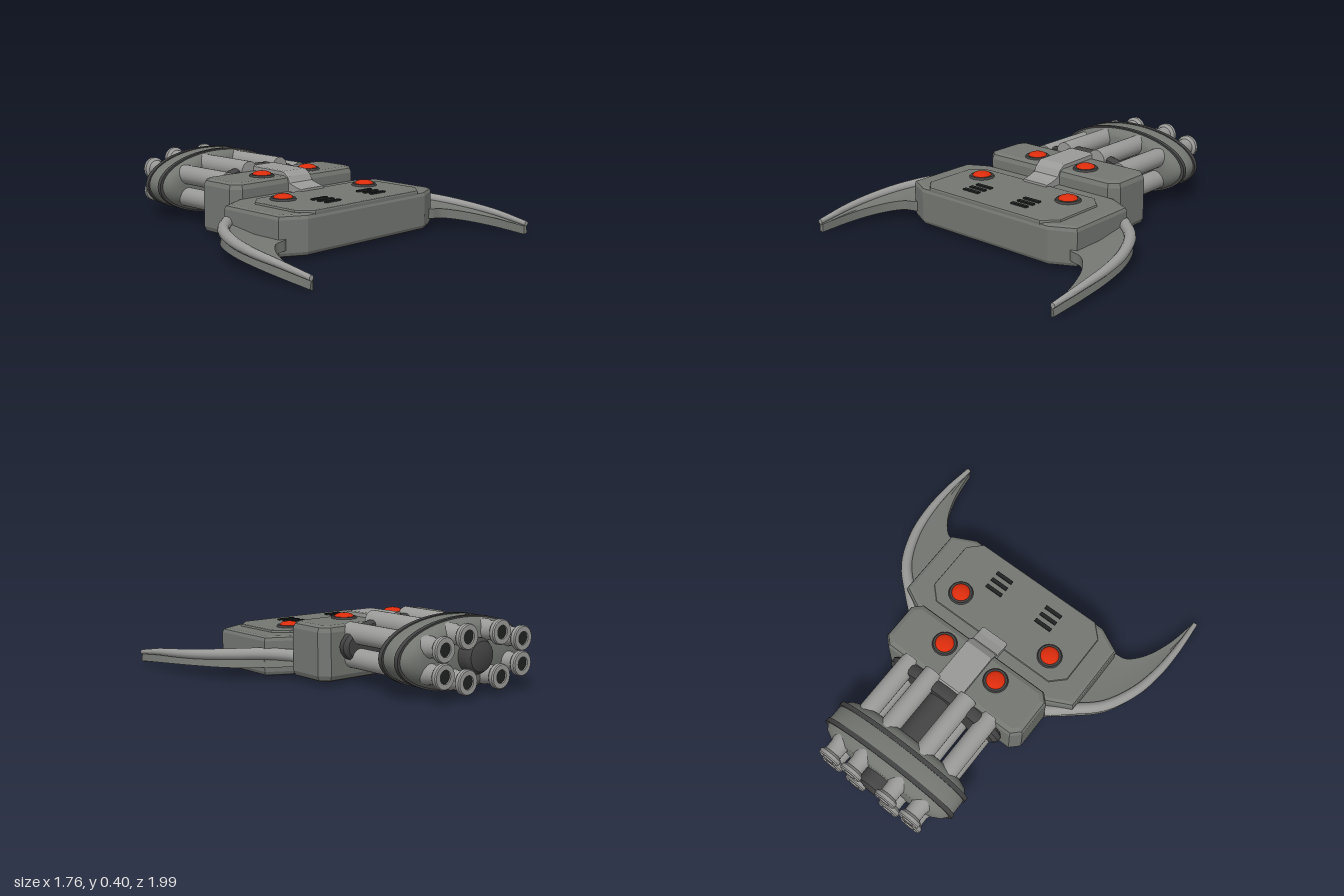
import * as THREE from 'three';
import { toCreasedNormals } from 'three/addons/utils/BufferGeometryUtils.js';

const material = (name, color) => Object.assign(new THREE.MeshStandardMaterial({ color }), { name });

// Slab with chamfered plan corners and bevelled edges, spanning the given ranges
function slab(halfX, z0, z1, y0, y1, cutX, cutZ, bevel) {
  const x = halfX - bevel, a = -z1 + bevel, b = -z0 - bevel;
  const shape = new THREE.Shape([
    [-x + cutX, a], [x - cutX, a], [x, a + cutZ], [x, b - cutZ],
    [x - cutX, b], [-x + cutX, b], [-x, b - cutZ], [-x, a + cutZ],
  ].map(p => new THREE.Vector2(...p)));
  return new THREE.ExtrudeGeometry(shape, {
    depth: y1 - y0 - 2 * bevel, bevelEnabled: true, bevelSize: bevel, bevelThickness: bevel, bevelSegments: 2,
  }).rotateX(-Math.PI / 2).translate(0, y0 + bevel, 0);
}

// Lathe along z, listed from back to front
function turned(profile, segments = 24, sx = 1, sy = 1) {
  const g = new THREE.LatheGeometry(profile.map(p => new THREE.Vector2(...p)), segments);
  return toCreasedNormals(g.rotateX(Math.PI / 2).scale(sx, sy, 1), 0.6);
}

// Skin through equal-sized closed cross-sections, with end caps
function loft(sections, side) {
  const n = sections[0].length, last = sections.length - 1, index = [];
  const rings = sections.map(s => (side < 0 ? [...s].reverse() : s));
  const at = (i, j) => i * n + (j % n);
  for (let i = 0; i < last; i++) for (let j = 0; j < n; j++) {
    index.push(at(i, j), at(i, j + 1), at(i + 1, j + 1), at(i, j), at(i + 1, j + 1), at(i + 1, j));
  }
  for (let j = 1; j < n - 1; j++) {
    index.push(at(0, 0), at(0, j + 1), at(0, j), at(last, 0), at(last, j), at(last, j + 1));
  }
  const g = new THREE.BufferGeometry();
  g.setAttribute('position', new THREE.Float32BufferAttribute(
    rings.flat().flatMap(p => [p.x * side, p.y, p.z]), 3));
  g.setIndex(index);
  return toCreasedNormals(g, 0.8);
}

const curve = pts => new THREE.CatmullRomCurve3(pts.map(p => new THREE.Vector3(...p)));

export function createModel() {
  const root = new THREE.Group();
  root.name = 'clawedRotaryDevice';
  const body = material('bodyGrey', 0x747772);
  const light = material('lightGrey', 0x9a9b99);
  const dark = material('darkGrey', 0x424342);
  const black = material('black', 0x202221);
  const red = material('red', 0xdc2c0c);
  const add = (name, geometry, mat, x = 0, y = 0, z = 0) => {
    const mesh = new THREE.Mesh(geometry, mat);
    mesh.name = name;
    mesh.position.set(x, y, z);
    root.add(mesh);
    return mesh;
  };

  // Housing
  add('mainBody', slab(0.6, 0.01, 0.57, 0.02, 0.24, 0.12, 0.06, 0.025), body);
  add('topPlate', slab(0.48, 0.11, 0.565, 0.2, 0.253, 0.07, 0.07, 0.01), body);
  add('rearBlock', slab(0.48, -0.29, 0.03, 0.02, 0.325, 0.03, 0.03, 0.035), body);

  // Strap stepping down from the rear block to the main body, profile in z and y
  const strap = new THREE.Shape([
    [-0.285, 0.2], [0.14, 0.2], [0.14, 0.262], [0.1, 0.268], [0.045, 0.285],
    [0.025, 0.32], [-0.01, 0.345], [-0.275, 0.349], [-0.285, 0.34],
  ].map(p => new THREE.Vector2(-p[0], p[1])));
  add('strap', new THREE.ExtrudeGeometry(strap, {
    depth: 0.16, bevelEnabled: true, bevelSize: 0.005, bevelThickness: 0.008, bevelSegments: 1,
  }).rotateY(Math.PI / 2).translate(-0.08, 0, 0), light);

  // Buttons
  const ring = new THREE.CylinderGeometry(0.066, 0.076, 0.016, 28);
  const dome = new THREE.SphereGeometry(0.054, 28, 8, 0, Math.PI * 2, 0, Math.PI / 2).scale(1, 0.38, 1);
  for (const [x, y, z] of [[0.18, 0.327, -0.09], [0.32, 0.256, 0.235]]) {
    for (const s of [-1, 1]) {
      add('buttonRing', ring, dark, s * x, y, z);
      add('button', dome, red, s * x, y + 0.007, z);
    }
  }

  // Vent slots
  const slot = new THREE.BoxGeometry(0.11, 0.009, 0.022);
  for (const s of [-1, 1]) for (let i = 0; i < 3; i++) {
    add('vent', slot, black, s * 0.177, 0.257, 0.365 + i * 0.05);
  }

  // Oval drum with two dark bands
  const cy = 0.21;
  add('drum', turned([
    [0, -0.895], [0.74, -0.895], [0.82, -0.888], [0.92, -0.865], [0.985, -0.83], [1, -0.8],
    [1, -0.73], [0.985, -0.695], [0.92, -0.66], [0.82, -0.64], [0.74, -0.635], [0, -0.635],
  ], 56, 0.44, 0.188), body, 0, cy, 0);
  for (const z of [-0.82, -0.703]) {
    add('drumBand', turned([
      [0.96, z - 0.013], [1.012, z - 0.013], [1.012, z + 0.013], [0.96, z + 0.013],
    ], 56, 0.443, 0.19), dark, 0, cy, 0);
  }

  // Mounting plate and central axle
  add('mountPlate', turned([
    [0, -0.355], [0.94, -0.355], [1, -0.335], [1, -0.305], [0.94, -0.285], [0, -0.285],
  ], 32, 0.385, 0.145), dark, 0, cy, 0);
  add('axle', turned([
    [0, -0.985], [0.05, -0.983], [0.08, -0.972], [0.095, -0.95], [0.095, -0.28], [0, -0.28],
  ]), dark, 0, cy, 0);

  // Eight barrels around the axle
  const barrel = turned([
    [0.036, -0.975], [0.036, -0.997], [0.062, -0.997], [0.067, -0.99], [0.067, -0.97], [0.062, -0.963],
    [0.051, -0.955], [0.051, -0.905], [0.057, -0.885], [0.057, -0.265], [0, -0.265],
  ]);
  const bore = turned([[0, -0.988], [0.037, -0.988], [0.037, -0.96], [0, -0.96]], 16);
  for (const sx of [-1, 1]) for (const sy of [-1, 1]) {
    for (const [x, y] of [[0.12, 0.115], [0.28, 0.067]]) {
      add('barrel', barrel, light, sx * x, cy + sy * y, 0);
      add('barrelBore', bore, black, sx * x, cy + sy * y, 0);
    }
  }

  // Curved claws: a tapering outer rim and a blade filling its inside
  const outer = curve([
    [0.47, 0.135, -0.01], [0.59, 0.145, 0.09], [0.725, 0.14, 0.22], [0.812, 0.125, 0.4],
    [0.85, 0.11, 0.58], [0.86, 0.092, 0.78], [0.852, 0.062, 0.99],
  ]);
  const inner = curve([
    [0.42, 0.105, 0.2], [0.5, 0.1, 0.42], [0.57, 0.095, 0.52], [0.655, 0.088, 0.54],
    [0.735, 0.075, 0.63], [0.8, 0.055, 0.79], [0.838, 0.03, 0.985],
  ]);
  const up = new THREE.Vector3(0, 1, 0), rims = [], blades = [], steps = 30;
  for (let i = 0; i <= steps; i++) {
    const t = i / steps, o = outer.getPoint(t), p = inner.getPoint(t);
    const n = new THREE.Vector3().crossVectors(up, outer.getTangent(t)).normalize();
    const r = 0.034 - 0.02 * t * t, h = 0.036 - 0.008 * t;
    rims.push(Array.from({ length: 12 }, (_, k) => {
      const a = k * Math.PI / 6;
      return o.clone().addScaledVector(n, r * Math.cos(a)).addScaledVector(up, r * Math.sin(a));
    }));
    const mid = o.clone().lerp(p, 0.5);
    const low = Math.min(o.y - r, p.y - h + 0.006);
    blades.push([
      o.clone(),
      new THREE.Vector3(mid.x, mid.y - 0.004, mid.z),
      new THREE.Vector3(p.x, p.y + h * 0.7, p.z),
      new THREE.Vector3(p.x, p.y - h, p.z),
      new THREE.Vector3(mid.x, p.y - h, mid.z),
      new THREE.Vector3(o.x + n.x * r * 0.6, low, o.z + n.z * r * 0.6),
    ]);
  }
  for (const [s, label] of [[1, 'left'], [-1, 'right']]) {
    add(label + 'ClawRim', loft(rims, s), light);
    add(label + 'ClawBlade', loft(blades, s), body);
  }
  return root;
}
